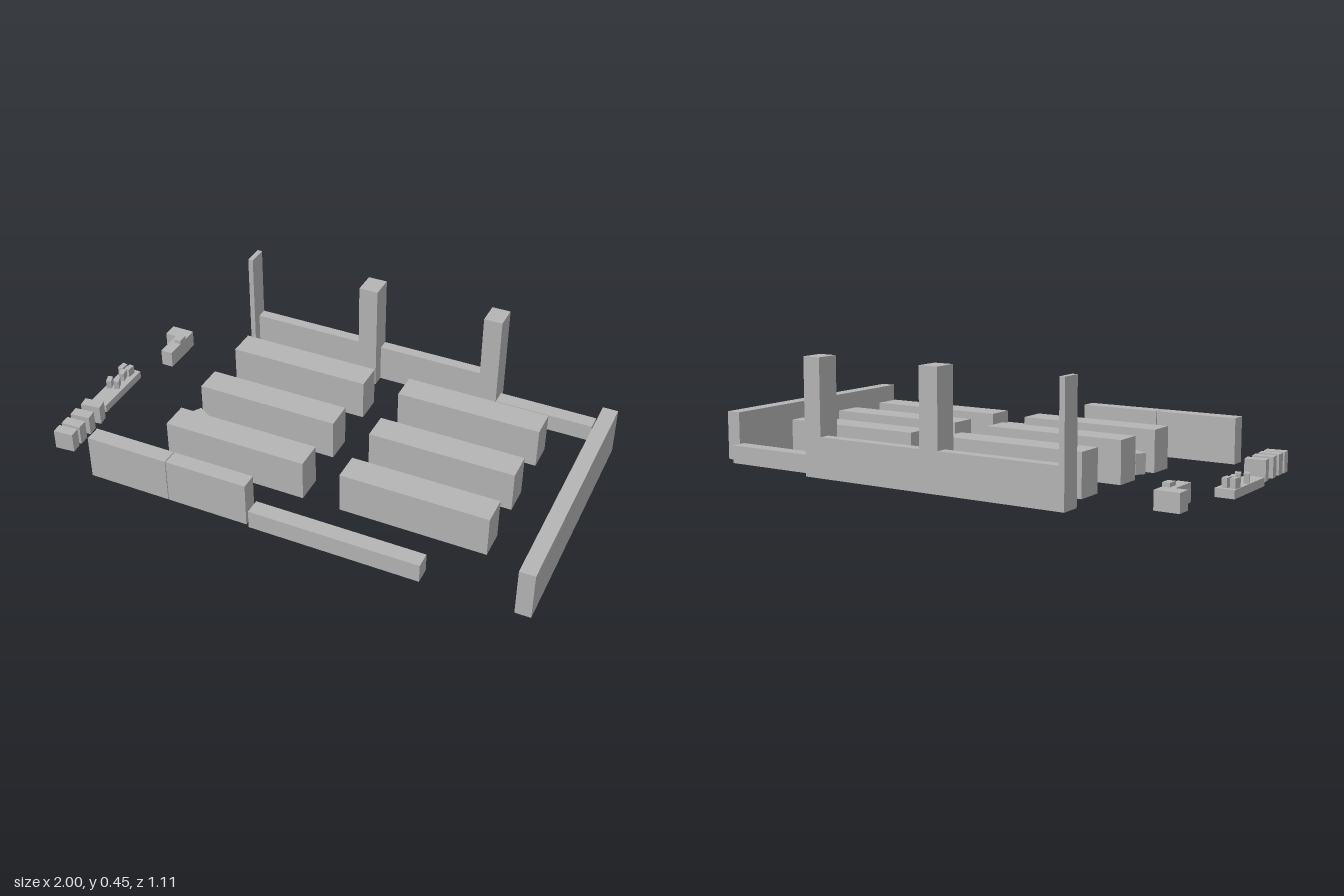
import * as THREE from 'three';

export function createModel() {
  const model = new THREE.Group();
  model.name = 'shopLayout';
  const grey = new THREE.MeshStandardMaterial({ color: 0xb4b4b4 });
  grey.name = 'plainGrey';

  // Box given by its limits along each axis
  function block(name, x0, x1, y0, y1, z0, z1) {
    const mesh = new THREE.Mesh(new THREE.BoxGeometry(x1 - x0, y1 - y0, z1 - z0), grey);
    mesh.name = name;
    mesh.position.set((x0 + x1) / 2, (y0 + y1) / 2, (z0 + z1) / 2);
    model.add(mesh);
    return mesh;
  }

  // Box given by centre, size and turn about the vertical
  function turned(name, x, z, w, d, y0, y1, degrees) {
    const mesh = block(name, x - w / 2, x + w / 2, y0, y1, z - d / 2, z + d / 2);
    mesh.rotation.y = THREE.MathUtils.degToRad(degrees);
  }

  // Two columns of three long shelves
  for (const [x0, x1] of [[-0.55, 0.028], [0.178, 0.758]]) {
    for (const z of [-0.287, -0.003, 0.265]) {
      block('shelf', x0, x1, 0, 0.165, z - 0.056, z + 0.056);
    }
  }

  // Back wall with its pillars and low counter
  block('backWall', -0.585, 0.505, 0, 0.155, -0.555, -0.511);
  block('thinPillar', -0.605, -0.584, 0, 0.45, -0.555, -0.472);
  block('middlePillar', -0.096, -0.017, 0, 0.45, -0.555, -0.46);
  block('endPillar', 0.433, 0.508, 0, 0.45, -0.555, -0.46);
  block('backCounter', 0.508, 0.905, 0.005, 0.075, -0.525, -0.464);

  // Side wall
  block('sideWall', 0.94, 1, 0, 0.192, -0.45, 0.55);

  // Front units
  block('frontTallUnit', -0.754, -0.42, 0.01, 0.19, 0.486, 0.55);
  block('frontTallUnit', -0.417, -0.09, 0.01, 0.19, 0.486, 0.55);
  block('frontLowUnit', -0.081, 0.59, 0, 0.075, 0.486, 0.55);

  // L-shaped counter with a till
  block('counterEnd', -0.941, -0.845, 0.005, 0.075, -0.386, -0.324);
  block('counterArm', -0.895, -0.845, 0.005, 0.075, -0.324, -0.205);
  block('till', -0.874, -0.845, 0.075, 0.09, -0.324, -0.28);

  // Low display table with small goods
  block('displayTable', -1, -0.925, 0.005, 0.037, -0.08, 0.185);
  for (const [x, z, turn] of [
    [-0.985, -0.043, -5], [-0.955, -0.045, -4], [-0.963, -0.007, 12],
    [-0.984, 0.06, 20], [-0.955, 0.05, 20],
  ]) {
    turned('displayItem', x, z, 0.021, 0.036, 0.037, 0.073, turn);
  }

  // Row of slightly turned carts and one stray in the aisle
  for (const [x, z, turn] of [
    [-0.942, 0.249, 8], [-0.942, 0.322, 6], [-0.94, 0.387, 3], [-0.939, 0.442, 5],
  ]) {
    turned('cart', x, z, 0.08, 0.043, 0.01, 0.09, turn);
  }
  turned('strayCart', -0.509, 0.132, 0.08, 0.043, 0.01, 0.09, -32);

  return model;
}
